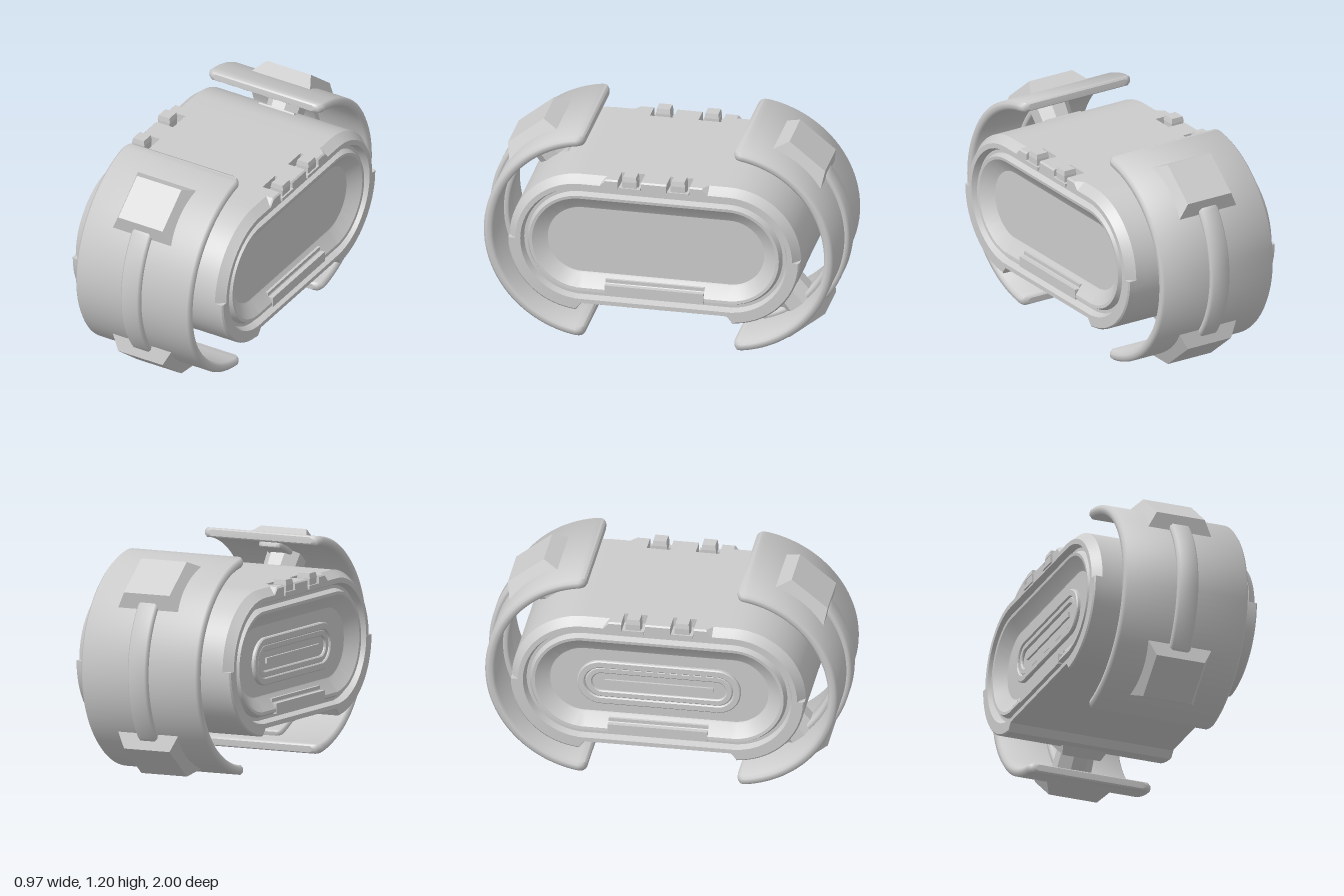
import * as THREE from 'three';
import { toCreasedNormals } from 'three/addons/utils/BufferGeometryUtils.js';

const grey = new THREE.MeshStandardMaterial({ color: 0xcccccc });
const rad = THREE.MathUtils.degToRad;

function add(parent, name, geometry, x = 0, y = 0, z = 0) {
  const mesh = new THREE.Mesh(geometry, grey);
  mesh.name = name;
  mesh.position.set(x, y, z);
  parent.add(mesh);
  return mesh;
}

// Skin a row of closed cross-sections and cap both ends
function loft(sections, crease) {
  const n = sections[0].length;
  const index = [];
  for (let s = 0; s < sections.length - 1; s++) {
    for (let i = 0; i < n; i++) {
      const a = s * n + i, b = s * n + (i + 1) % n;
      index.push(a, b, b + n, a, b + n, a + n);
    }
  }
  const last = (sections.length - 1) * n;
  for (let i = 1; i < n - 1; i++) {
    index.push(0, i + 1, i, last, last + i, last + i + 1);
  }
  const geo = new THREE.BufferGeometry();
  geo.setAttribute('position', new THREE.Float32BufferAttribute(sections.flat(2), 3));
  geo.setIndex(index);
  return toCreasedNormals(geo, crease);
}

// Box whose top is narrowed by the factors kx and kz
function taperedBox(w, h, d, kx, kz) {
  const geo = new THREE.BoxGeometry(w, h, d);
  const p = geo.attributes.position;
  for (let i = 0; i < p.count; i++) {
    if (p.getY(i) > 0) p.setXYZ(i, p.getX(i) * kx, p.getY(i), p.getZ(i) * kz);
  }
  return toCreasedNormals(geo, 0.3);
}

// Curved band around the x axis with bevelled edges and rounded corners
function curvedBand(rIn, rOut, halfWidth, halfAngle, corner, b) {
  const sections = [];
  const steps = 72;
  for (let s = 0; s <= steps; s++) {
    const a = -halfAngle * Math.cos(Math.PI * s / steps);
    const toEnd = Math.min(corner, (halfAngle - Math.abs(a)) * rOut);
    const w = halfWidth - corner + Math.sqrt(corner ** 2 - (corner - toEnd) ** 2);
    const tip = Math.max(0, 1 - toEnd / b) * b * 0.6;
    const ro = rOut - tip, ri = rIn + tip;
    const c = Math.min(b, (ro - ri) / 2.5);
    const loop = [[-w + c, ro], [w - c, ro], [w, ro - c], [w, ri + c],
      [w - c, ri], [-w + c, ri], [-w, ri + c], [-w, ro - c]];
    sections.push(loop.map(([x, r]) => [x, r * Math.sin(a), r * Math.cos(a)]));
  }
  return loft(sections, 0.9);
}

// Points round the long body: end centre z, angle, chamfered?, raised underside?, latch notch?
function bodyOutline() {
  const front = [[0.07, 90, 0, 0, 0], [0.07, 90, 0, 0, 1], [0.2, 90, 0, 0, 1], [0.2, 90, 0, 0, 0],
    [0.27, 90, 0, 0, 0], [0.3, 90, 1, 0, 0]];
  for (let a = 90; a >= 0; a -= 6) front.push([0.41, a, 1, 0, 0]);
  for (let a = 0; a >= -84; a -= 6) front.push([0.41, a, 0, 0, 0]);
  front.push([0.435, -90, 0, 0, 0], [0.405, -90, 0, 1, 0]);
  const back = front.map(([z, a, ...flags]) => [-z, 180 - a, ...flags]).reverse();
  return [...front, ...back];
}

function bodyGeometry() {
  const outline = bodyOutline();
  const section = (x, r, chamfer = 0, lift = 0, notch = 0) => outline.map(([z, a, c, l, n]) => {
    const q = r - c * chamfer - n * notch;
    return [x, 0.625 + q * Math.sin(rad(a)) + l * lift, z + q * Math.cos(rad(a))];
  });
  // x, radius, chamfer, underside lift, notch, from the floor of the pocket outwards
  const end = [[0.415, 0.001], [0.415, 0.192], [0.419, 0.2], [0.47, 0.268], [0.472, 0.285],
    [0.44, 0.3], [0.44, 0.318], [0.478, 0.332],
    [0.478, 0.392, 0.032, 0.036, 0.045], [0.47, 0.4, 0.034, 0.04, 0.053],
    [0.43, 0.4, 0, 0.04, 0.053], [0.365, 0.4, 0, 0.04, 0.053], [0.365, 0.4, 0, 0.04]];
  const left = end.map(([x, ...p]) => section(-x, ...p));
  const right = end.map(([x, ...p]) => section(x, ...p)).reverse();
  return loft([...left, ...right], 0.45);
}

function stadium(half, r, Type = THREE.Shape) {
  const s = new Type();
  const c = half - r;
  s.absarc(c, 0, r, -Math.PI / 2, Math.PI / 2, false);
  s.absarc(-c, 0, r, Math.PI / 2, Math.PI * 1.5, false);
  s.closePath();
  return s;
}

// Stadium ring for the port
function ringGeometry(half, r, wall, depth) {
  const shape = stadium(half, r);
  shape.holes.push(stadium(half - wall, r - wall, THREE.Path));
  const geo = new THREE.ExtrudeGeometry(shape, { depth, curveSegments: 16, bevelSize: 0.006,
    bevelThickness: 0.006, bevelSegments: 1 });
  return toCreasedNormals(geo, 0.5);
}

// Curved bumper with its ribs, two pads and the struts behind them
function createBumper(name) {
  const g = new THREE.Group();
  g.name = name;
  const arc = new THREE.Group();
  arc.name = 'bumperArc';
  arc.position.set(0, 0.604, 0.37);
  g.add(arc);
  add(arc, 'outerShell', curvedBand(0.55, 0.602, 0.362, rad(85.5), 0.05, 0.014));
  add(arc, 'innerRib', curvedBand(0.522, 0.56, 0.07, rad(75), 0.03, 0.008));
  add(arc, 'centreRib', curvedBand(0.59, 0.63, 0.06, rad(38.5), 0.03, 0.012));
  for (const tilt of [39, 141]) {
    const mount = new THREE.Group();
    mount.name = tilt < 90 ? 'upperMount' : 'lowerMount';
    mount.rotation.x = rad(tilt);
    arc.add(mount);
    add(mount, 'pad', taperedBox(0.38, 0.088, 0.35, 0.74, 0.73), 0, 0.612, 0);
    const strut = new THREE.CylinderGeometry(0.11, 0.1, 0.22, 8);
    strut.rotateY(Math.PI / 8);
    add(mount, 'strut', toCreasedNormals(strut, 0.3), 0, 0.45, 0);
    add(mount, 'strutFoot', taperedBox(0.26, 0.06, 0.25, 0.85, 0.85), 0, 0.4, 0);
  }
  return g;
}

export function createModel() {
  const model = new THREE.Group();
  model.name = 'ruggedPod';
  add(model, 'body', bodyGeometry());

  const front = createBumper('frontBumper');
  const back = createBumper('backBumper');
  back.rotation.y = Math.PI;
  model.add(front, back);

  for (const side of [-1, 1]) {
    // Latches set into the notches of the top edges
    for (const z of [-0.135, 0.135]) {
      const latch = new THREE.Group();
      latch.name = 'latch';
      latch.position.z = z;
      model.add(latch);
      add(latch, 'latchHook', new THREE.BoxGeometry(0.03, 0.02, 0.12), side * 0.472, 0.977, 0);
      add(latch, 'latchBlock', new THREE.BoxGeometry(0.075, 0.055, 0.08), side * 0.44, 0.997, 0);
      add(latch, 'latchTab', taperedBox(0.08, 0.028, 0.08, 0.85, 0.9), side * 0.44, 1.037, 0);
    }
    // Ledge at the bottom of each end pocket
    add(model, 'pocketLedge', new THREE.BoxGeometry(0.07, 0.058, 0.55), side * 0.44, 0.357, 0);
    add(model, 'ledgeBar', new THREE.BoxGeometry(0.05, 0.03, 0.55), side * 0.42, 0.395, 0);
  }

  // Stepped slot in the right-hand pocket
  const port = new THREE.Group();
  port.name = 'slotPort';
  port.position.set(-0.415, 0.62, 0);
  port.rotation.y = -Math.PI / 2;
  model.add(port);
  add(port, 'outerRing', ringGeometry(0.445, 0.125, 0.03, 0.015));
  add(port, 'innerRing', ringGeometry(0.4, 0.085, 0.025, 0.008));
  add(port, 'slotBar', new THREE.BoxGeometry(0.6, 0.03, 0.02), 0, 0, 0.002);
  return model;
}
